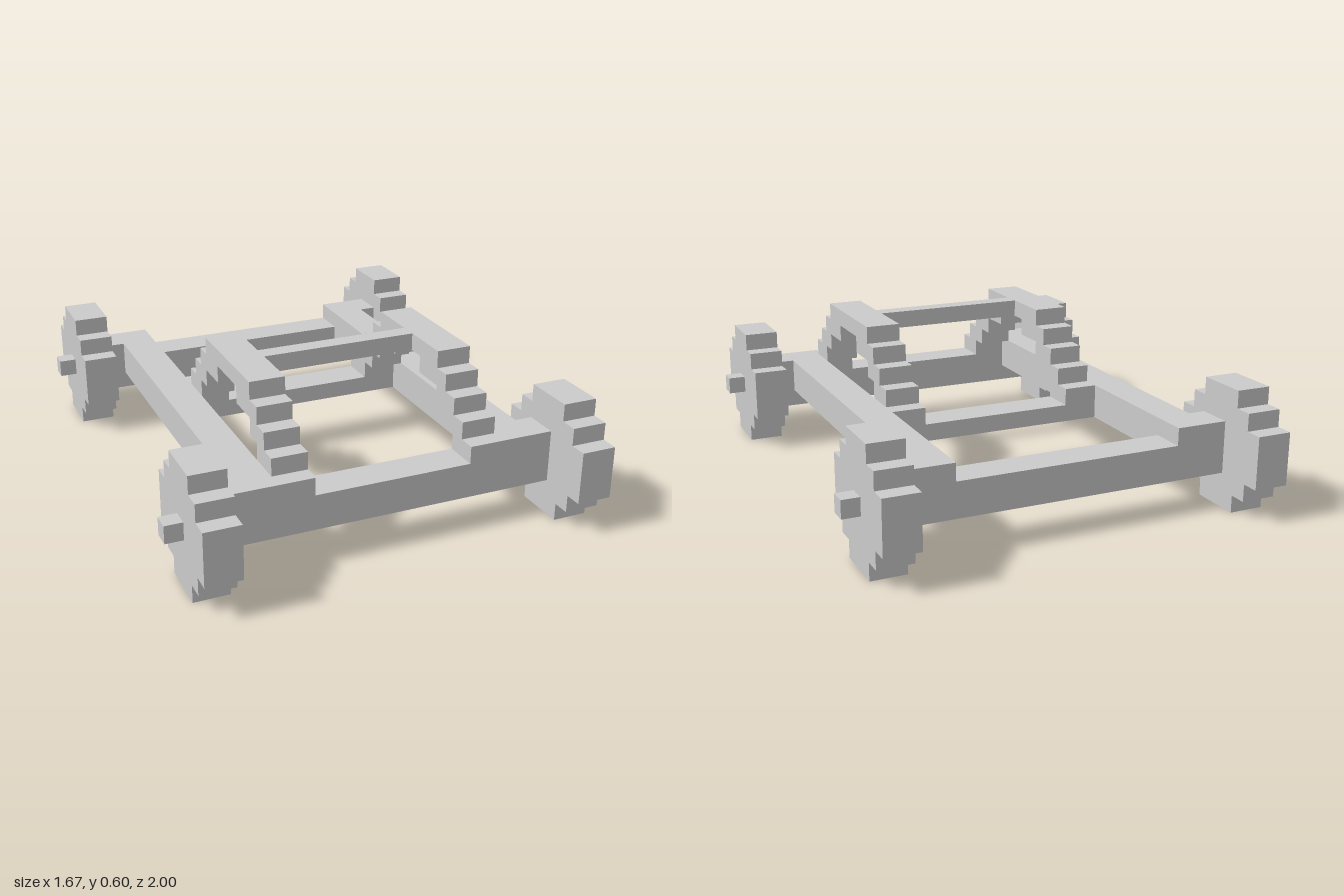
import * as THREE from 'three';

const U = 1 / 15; // one block; all sizes below are in blocks

export function createModel() {
  const model = new THREE.Group();
  const material = new THREE.MeshStandardMaterial({ color: 0xcccccc, flatShading: true });

  const add = (name, geometry) => {
    geometry.scale(U, U, U);
    const mesh = new THREE.Mesh(geometry, material);
    mesh.name = name;
    model.add(mesh);
  };
  const box = (name, x0, x1, y0, y1, z0, z1) =>
    add(name, new THREE.BoxGeometry(x1 - x0, y1 - y0, z1 - z0)
      .translate((x0 + x1) / 2, (y0 + y1) / 2, (z0 + z1) / 2));
  const extrude = (points, depth) => new THREE.ExtrudeGeometry(
    new THREE.Shape(points.map(([a, b]) => new THREE.Vector2(a, b))),
    { depth, bevelEnabled: false });

  // (z, y) outline extruded across x0..x1
  const sideProfile = (name, points, x0, x1) =>
    add(name, extrude(points, x1 - x0).rotateY(-Math.PI / 2).translate(x1, 0, 0));

  // Cross beam along x with a shallow notch in its top
  const notchedBeam = (name, half, notch, y0, z0) =>
    add(name, extrude([
      [-half, y0], [half, y0], [half, 5], [notch, 5],
      [notch, 4], [-notch, 4], [-notch, 5], [-half, 5],
    ], 2).translate(0, 0, z0));

  // Frame
  notchedBeam('frontAxle', 9.5, 4.5, 2, 10);
  notchedBeam('rearAxle', 9.5, 6.5, 2, -12);
  notchedBeam('middleCrossbar', 6.5, 4.5, 3, -3);
  box('archCrossbar', -4.5, 4.5, 8, 9, 4, 5);

  // Stepped wheel outline, one quarter mirrored all round
  const quarter = [[3.5, 1.5], [2.5, 1.5], [2.5, 2.5], [1.5, 2.5], [1.5, 3.5]];
  const flipped = [...quarter].reverse();
  const wheelOutline = [
    ...quarter,
    ...flipped.map(([a, b]) => [-a, b]),
    ...quarter.map(([a, b]) => [-a, -b]),
    ...flipped.map(([a, b]) => [a, -b]),
  ];

  // Stepped arch: outer staircase over the top, then back along the inside
  const archOutline = [
    [11, 5], [11, 6], [10, 6], [10, 7], [9, 7], [9, 8], [8, 8], [8, 9],
    [1, 9], [1, 8], [0, 8], [0, 7], [-1, 7], [-1, 6], [-2, 6], [-2, 5],
    [0, 5], [0, 6], [1, 6], [1, 7], [3, 7], [3, 8],
    [6, 8], [6, 7], [8, 7], [8, 6], [9, 6], [9, 5],
  ];

  // Paired parts
  for (const [side, s] of [['left', 1], ['right', -1]]) {
    const span = (a, b) => (s > 0 ? [a, b] : [-b, -a]);
    box(side + 'Rail', ...span(6.5, 8.5), 3, 5, -10, 10);
    sideProfile(side + 'Arch', archOutline, ...span(4.5, 6.5));

    for (const [end, z] of [['Front', 11.5], ['Rear', -11.5]]) {
      sideProfile(side + end + 'Wheel',
        wheelOutline.map(([a, b]) => [a + z, b + 3.5]), ...span(9.5, 11.5));
      box(side + end + 'Hub', ...span(11.5, 12.5), 3, 4, z - 0.5, z + 0.5);
    }
  }
  return model;
}
